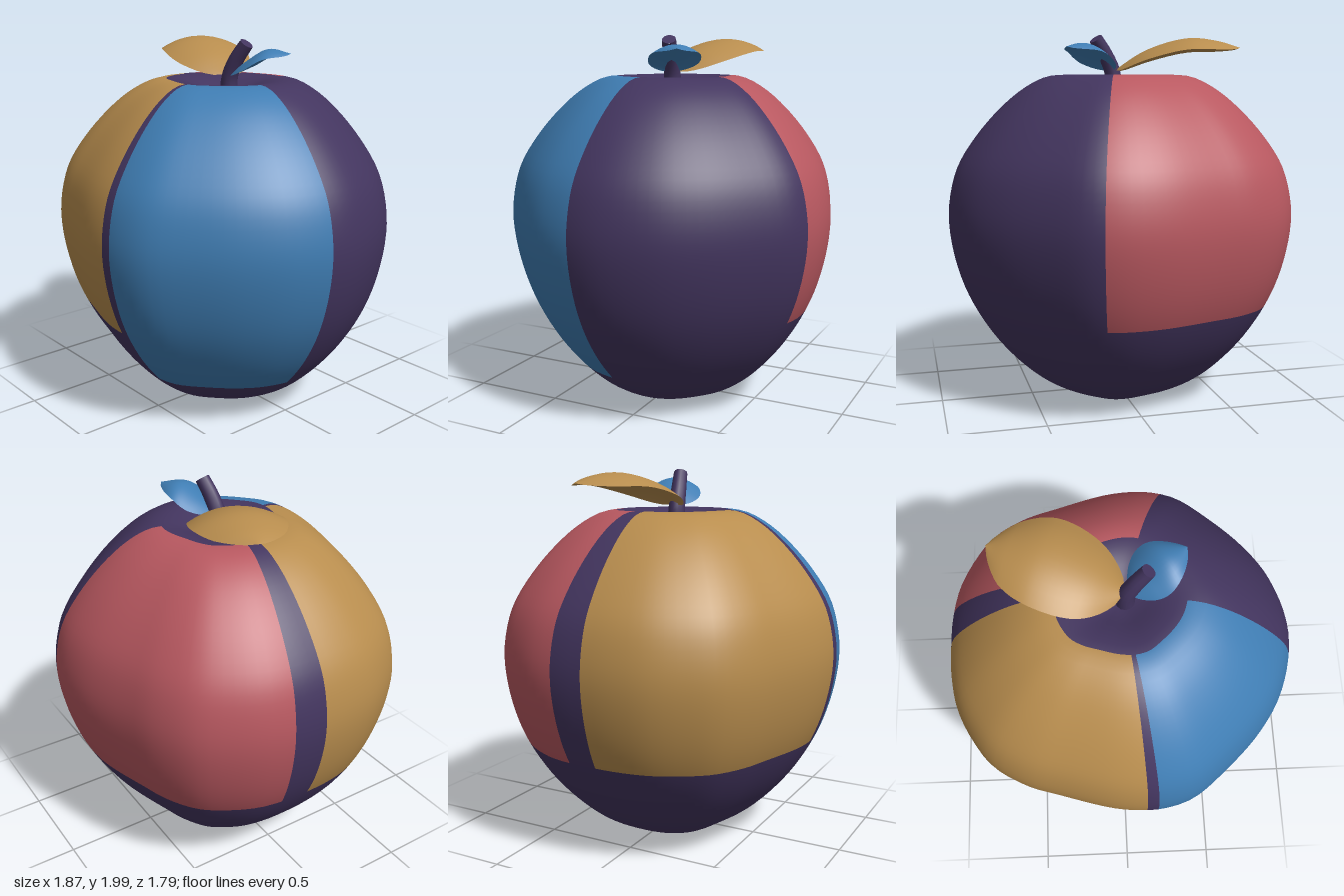
import * as THREE from 'three';

const OCHRE = 0xb88d4e, BLUE = 0x3f7db3, RED = 0xb85860, PURPLE = 0x43355f;
const mat = (color, side = THREE.FrontSide) => new THREE.MeshStandardMaterial({ color, side });
const curve = (pts, closed = false) =>
  new THREE.CatmullRomCurve3(pts.map(p => new THREE.Vector3(...p)), closed, 'centripetal');

// Body: a five-lobed plan outline scaled up the height by a side profile
function makeBody() {
  const half = [[0.87, 0.29], [0.74, 0.5], [0.53, 0.71], [0.36, 0.84], [0.215, 0.885], [0.1, 0.893],
    [-0.07, 0.875], [-0.37, 0.79], [-0.54, 0.735], [-0.715, 0.63], [-0.81, 0.51], [-0.9, 0.33], [-0.935, 0.15]];
  const outline = curve([[0.935, 0], ...half, [-0.94, 0],
    ...half.slice().reverse().map(([x, z]) => [x, -z])].map(([x, z]) => [x, 0, z]), true);
  const profile = curve([[0.001, 0.07], [0.1, 0.045], [0.17, 0.012], [0.23, 0.006], [0.32, 0.03], [0.48, 0.11],
    [0.63, 0.23], [0.78, 0.4], [0.9, 0.6], [0.97, 0.8], [1, 1], [0.987, 1.15], [0.94, 1.3], [0.84, 1.45],
    [0.7, 1.6], [0.56, 1.71], [0.43, 1.773], [0.33, 1.785], [0.22, 1.765], [0.1, 1.72], [0.001, 1.7]]
    .map(([s, y]) => [s, y, 0]));

  const cols = 96, rows = 60;
  const ring = outline.getSpacedPoints(cols).slice(0, cols);
  const levels = profile.getSpacedPoints(rows);
  const positions = [];
  for (const l of levels) for (const p of ring) positions.push(p.x * l.x, l.y, p.z * l.x);

  // Each patch of skin takes the colour of its lobe
  const patches = { blueSkin: [], ochreSkin: [], redSkin: [], purpleSkin: [] };
  const pick = (p, l) => {
    const a = (THREE.MathUtils.radToDeg(Math.atan2(p.z, p.x)) + 360) % 360;
    if (l.y > 1.6 && l.x < 0.38) return 'purpleSkin';
    if (a > 5 && a < 79) return l.y > 0.2 ? 'blueSkin' : 'purpleSkin';
    if (l.y < 0.55) return 'purpleSkin';
    if (a >= 83 && a < 178) return 'ochreSkin';
    return a > 190 && a < 288 ? 'redSkin' : 'purpleSkin';
  };
  const all = [];
  for (let j = 0; j < rows; j++) for (let i = 0; i < cols; i++) {
    const n = (i + 1) % cols;
    const a = j * cols + i, b = j * cols + n, c = a + cols, d = b + cols;
    const quad = [a, c, b, b, c, d];
    all.push(...quad);
    patches[pick(ring[i], levels[j])].push(...quad);
  }

  // Normals come from the whole surface, so the patches join smoothly
  const whole = new THREE.BufferGeometry();
  whole.setAttribute('position', new THREE.Float32BufferAttribute(positions, 3));
  whole.setIndex(all);
  whole.computeVertexNormals();
  const colors = { blueSkin: BLUE, ochreSkin: OCHRE, redSkin: RED, purpleSkin: PURPLE };
  const body = new THREE.Group();
  body.name = 'fruitBody';
  for (const [name, index] of Object.entries(patches)) {
    const g = new THREE.BufferGeometry();
    g.setAttribute('position', whole.attributes.position);
    g.setAttribute('normal', whole.attributes.normal);
    g.setIndex(index);
    const mesh = new THREE.Mesh(g, mat(colors[name]));
    mesh.name = name;
    body.add(mesh);
  }
  return body;
}

// Leaf: a domed blade swept along an arched midrib
function makeLeaf(name, color, rib, halfWidth, droop, peak) {
  const path = curve(rib);
  const along = path.getPoint(1).sub(path.getPoint(0));
  const side = new THREE.Vector3(-along.z, 0, along.x).normalize();
  const g = new THREE.PlaneGeometry(1, 1, 12, 24);
  const pos = g.attributes.position;
  for (let i = 0; i < pos.count; i++) {
    const across = pos.getX(i) * 2, t = pos.getY(i) + 0.5;
    const w = Math.pow(Math.sin(Math.PI * Math.pow(t, peak)), 0.75) || 0;
    const p = path.getPoint(t).addScaledVector(side, across * halfWidth * w);
    p.y -= droop * across * across * w;
    pos.setXYZ(i, p.x, p.y, p.z);
  }
  g.computeVertexNormals();
  const leaf = new THREE.Mesh(g, mat(color, THREE.DoubleSide));
  leaf.name = name;
  return leaf;
}

// Stem: a bent tube, tapering to a capped tip
function makeStem() {
  const path = curve([[0.02, 1.66, 0], [0.03, 1.8, 0], [0.07, 1.89, -0.01], [0.13, 1.978, -0.03]]);
  const sides = 12, steps = 12;
  const g = new THREE.TubeGeometry(path, steps, 0.05, sides, false);
  const pos = g.attributes.position, v = new THREE.Vector3();
  for (let i = 0; i < pos.count; i++) {
    const t = Math.floor(i / (sides + 1)) / steps;
    const c = path.getPointAt(t);
    v.fromBufferAttribute(pos, i).sub(c).multiplyScalar(1 - 0.25 * t).add(c);
    pos.setXYZ(i, v.x, v.y, v.z);
  }
  const tube = new THREE.Mesh(g, mat(PURPLE));
  tube.name = 'stemTube';
  const cap = new THREE.Mesh(new THREE.CircleGeometry(0.0375, sides), mat(PURPLE));
  cap.name = 'stemTip';
  cap.position.copy(path.getPoint(1));
  cap.quaternion.setFromUnitVectors(new THREE.Vector3(0, 0, 1), path.getTangent(1));
  const stem = new THREE.Group();
  stem.name = 'stem';
  stem.add(tube, cap);
  return stem;
}

export function createModel() {
  const model = new THREE.Group();
  model.name = 'fruit';
  model.add(
    makeBody(),
    makeStem(),
    makeLeaf('largeLeaf', OCHRE,
      [[0.02, 1.81, 0], [-0.15, 1.92, -0.05], [-0.36, 1.982, -0.13], [-0.52, 1.965, -0.18], [-0.63, 1.93, -0.215]],
      0.24, 0.07, 0.85),
    makeLeaf('smallLeaf', BLUE,
      [[0.04, 1.81, 0.01], [0.12, 1.89, -0.05], [0.21, 1.95, -0.11], [0.32, 1.93, -0.17]],
      0.14, 0.05, 1),
  );
  return model;
}
